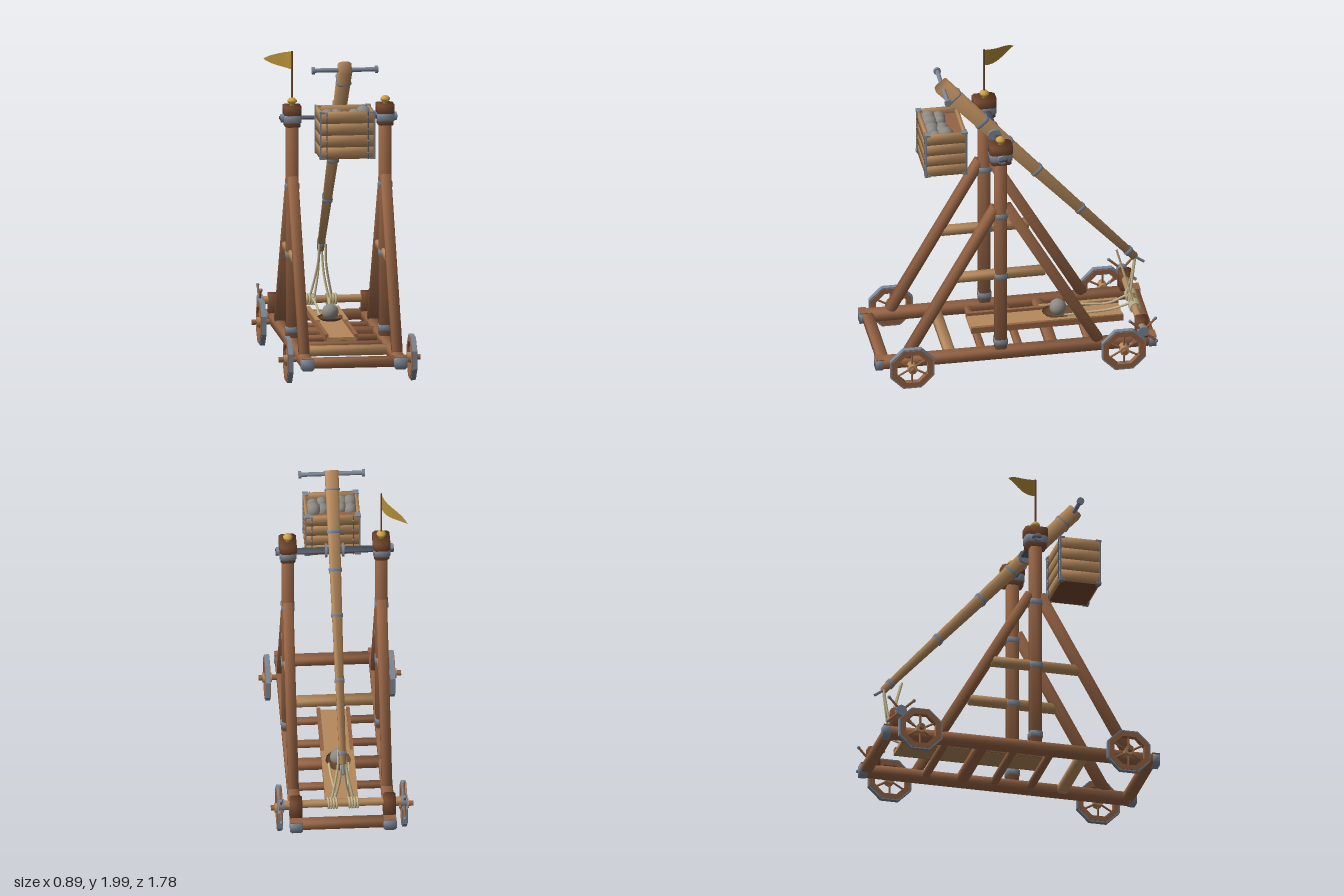
import * as THREE from 'three';

const V = (x, y, z) => new THREE.Vector3(x, y, z);
const mat = (name, color, extra = {}) =>
  Object.assign(new THREE.MeshStandardMaterial({ color, ...extra }), { name });

export function createModel() {
  const model = new THREE.Group();
  model.name = 'trebuchet';
  const timber = mat('timber', 0x966444);
  const dark = mat('darkTimber', 0x774a30);
  const pale = mat('paleTimber', 0xb68a5c);
  const iron = mat('iron', 0x7d8897);
  const darkIron = mat('darkIron', 0x555c6a);
  const stone = mat('stone', 0x8e8b86);
  const gold = mat('gold', 0xcfa546);
  const cloth = mat('flagCloth', 0xb08c36, { side: THREE.DoubleSide });
  const rope = mat('rope', 0xc8bb92);
  const leather = mat('leather', 0x6b4630, { side: THREE.DoubleSide });

  const add = (name, geo, material, x = 0, y = 0, z = 0, parent = model) => {
    const m = new THREE.Mesh(geo, material);
    m.name = name;
    m.position.set(x, y, z);
    parent.add(m);
    return m;
  };
  const box = (name, w, h, d, material, x, y, z, parent) =>
    add(name, new THREE.BoxGeometry(w, h, d), material, x, y, z, parent);

  // Chamfered beam from a to b with softly rounded normals; the end may taper
  const beam = (name, a, b, w, h, material, taper = 1, parent = model) => {
    const c = Math.min(w, h) * 0.16, s = new THREE.Shape();
    const p = [[w / 2 - c, -h / 2], [w / 2, c - h / 2], [w / 2, h / 2 - c], [w / 2 - c, h / 2],
      [c - w / 2, h / 2], [-w / 2, h / 2 - c], [-w / 2, c - h / 2], [c - w / 2, -h / 2]];
    s.setFromPoints(p.map(q => new THREE.Vector2(...q)));
    const dir = b.clone().sub(a), len = dir.length();
    dir.normalize();
    const geo = new THREE.ExtrudeGeometry(s, { depth: len, bevelEnabled: false });
    const pos = geo.attributes.position, nor = geo.attributes.normal;
    for (let i = 0; i < pos.count; i++) {
      const x = pos.getX(i), y = pos.getY(i), z = pos.getZ(i) / len;
      const k = 1 + (taper - 1) * z;
      const n = V(2 * x / w, 2 * y / h, z > 0.5 ? 0.6 : -0.6).normalize();
      nor.setXYZ(i, n.x, n.y, n.z);
      pos.setXY(i, x * k, y * k);
    }
    const side = Math.abs(dir.x) > 0.9 ? V(0, 0, 1) : V(1, 0, 0);
    geo.applyMatrix4(new THREE.Matrix4().makeBasis(side, dir.clone().cross(side), dir));
    return add(name, geo, material, a.x, a.y, a.z, parent);
  };
  // Round bar from a to b
  const bar = (name, a, b, r, material, sides = 8, parent = model) => {
    const d = b.clone().sub(a), mid = a.clone().add(b).multiplyScalar(0.5);
    const m = add(name, new THREE.CylinderGeometry(r, r, d.length(), sides), material, mid.x, mid.y, mid.z, parent);
    m.quaternion.setFromUnitVectors(V(0, 1, 0), d.normalize());
    return m;
  };
  const cord = (name, pts) =>
    add(name, new THREE.TubeGeometry(new THREE.CatmullRomCurve3(pts), 14, 0.0075, 6), rope);

  // Octagonal ring, flat on the ground
  const ring = (ro, ri, t) => {
    const pts = r => Array.from({ length: 8 }, (_, i) => {
      const a = (i + 0.5) * Math.PI / 4;
      return new THREE.Vector2(r * Math.cos(a), r * Math.sin(a));
    });
    const s = new THREE.Shape(pts(ro));
    s.holes.push(new THREE.Path(pts(ri).reverse()));
    return new THREE.ExtrudeGeometry(s, { depth: t, bevelEnabled: false })
      .translate(0, 0, -t / 2).rotateY(Math.PI / 2);
  };

  // Side frames, mirrored
  for (const s of [-1, 1]) {
    const x = s * 0.293, pz = 0.095;
    beam('sideRail', V(x, 0.148, -0.885), V(x, 0.148, 0.885), 0.074, 0.074, timber);
    // Iron shoe wraps the rail end but leaves its top bare
    for (const e of [-1, 1]) beam('cornerCap', V(x, 0.145, e * 0.89), V(x, 0.145, e * 0.845), 0.082, 0.076, iron);
    for (const e of [-1, 1]) box('railEndTop', 0.078, 0.006, 0.05, timber, x, 0.184, e * 0.865);
    beam('upright', V(x, 0.185, pz), V(x, 1.56, pz), 0.074, 0.074, timber);
    beam('frontBrace', V(x, 0.18, 0.695), V(x, 1.2, 0.125), 0.066, 0.064, timber);
    beam('rearBrace', V(x, 0.18, -0.525), V(x, 1.2, 0.055), 0.066, 0.064, timber);
    beam('sideTie', V(x, 0.715, -0.185), V(x, 0.715, 0.37), 0.055, 0.058, pale);
    for (const y of [0.235, 0.71, 1.145])
      beam('uprightBand', V(x, y - 0.018, pz), V(x, y + 0.018, pz), 0.084, 0.084, iron);

    // Post head with its iron band, axle bearing and finial
    beam('postHead', V(x, 1.525, pz), V(x, 1.605, pz), 0.095, 0.13, dark);
    beam('postCap', V(x, 1.6, pz), V(x, 1.655, pz), 0.108, 0.146, dark);
    beam('headBand', V(x, 1.552, pz), V(x, 1.598, pz), 0.106, 0.142, iron);
    const finial = [[0.001, 1.65], [0.02, 1.65], [0.012, 1.662], [0.03, 1.678], [0.03, 1.69], [0.016, 1.704], [0.001, 1.708]];
    add('finial', new THREE.LatheGeometry(finial.map(p => new THREE.Vector2(...p)), 8), gold, x, 0, pz);
    bar('axleNut', V(s * 0.34, 1.575, pz), V(s * 0.365, 1.575, pz), 0.028, iron);

    // Windlass bearing and crossed handles
    beam('windlassBearing', V(x, 0.18, -0.8), V(x, 0.305, -0.8), 0.078, 0.08, dark);
    bar('windlassHub', V(s * 0.365, 0.262, -0.795), V(s * 0.4, 0.262, -0.795), 0.036, iron);
    for (const a of [0.75, 2.3]) {
      const d = V(0, Math.sin(a) * 0.115, Math.cos(a) * 0.115), c = V(s * 0.387, 0.262, -0.795);
      bar('windlassHandle', c.clone().sub(d), c.clone().add(d), 0.008, timber, 6);
      for (const k of [-1, 1]) {
        const e = c.clone().addScaledVector(d, k);
        add('handleKnob', new THREE.IcosahedronGeometry(0.011, 1), iron, e.x, e.y, e.z);
      }
    }

    // Wheels
    for (const e of [-1, 1]) {
      const wheel = new THREE.Group();
      wheel.name = 'wheel';
      wheel.position.set(s * 0.39, 0.146, e * 0.672);
      add('tyre', ring(0.15, 0.139, 0.03), iron, 0, 0, 0, wheel);
      add('felloe', ring(0.14, 0.105, 0.036), timber, 0, 0, 0, wheel);
      bar('hub', V(-0.03, 0, 0), V(0.03, 0, 0), 0.031, pale, 8, wheel);
      bar('axleStub', V(-0.06, 0, 0), V(0.052, 0, 0), 0.017, timber, 8, wheel);
      for (let i = 0; i < 6; i++) {
        const a = (i + 0.5) * Math.PI / 3;
        bar('spoke', V(0, 0, 0), V(0, Math.sin(a) * 0.11, Math.cos(a) * 0.11), 0.007, timber, 6, wheel);
      }
      model.add(wheel);
    }
  }

  // Cross beams: z, height, depth, material
  for (const [z, h, d, m] of [[0.837, 0.062, 0.07, timber], [0.41, 0.06, 0.066, pale], [0.205, 0.04, 0.045, timber],
    [-0.03, 0.04, 0.045, timber], [-0.237, 0.06, 0.07, timber], [-0.47, 0.04, 0.045, timber], [-0.852, 0.062, 0.068, timber]])
    beam('crossBeam', V(-0.27, 0.15, z), V(0.27, 0.15, z), d, h, m);

  // Sling trough
  box('troughFloor', 0.19, 0.022, 0.965, pale, 0, 0.192, -0.237);
  for (const s of [-1, 1]) {
    box('troughWall', 0.022, 0.04, 0.965, timber, s * 0.092, 0.202, -0.237);
    box('troughLip', 0.026, 0.01, 0.5, pale, s * 0.09, 0.227, -0.465);
  }

  // Pouch and shot
  const pouch = add('pouch', new THREE.SphereGeometry(1, 12, 4, 0, Math.PI * 2, Math.PI / 2, Math.PI / 2),
    leather, 0, 0.236, -0.32);
  pouch.scale.set(0.08, 0.03, 0.1);
  add('shot', new THREE.IcosahedronGeometry(0.053, 2), stone, 0, 0.263, -0.32);

  // Windlass drum with rope coils
  bar('windlassDrum', V(-0.37, 0.262, -0.795), V(0.37, 0.262, -0.795), 0.025, pale);
  for (const s of [-1, 1]) for (let i = 0; i < 4; i++)
    add('ropeCoil', new THREE.TorusGeometry(0.032, 0.0075, 6, 12).rotateY(Math.PI / 2 + 0.12), rope,
      s * (0.04 + i * 0.017), 0.262, -0.795);

  // Throwing arm, tapering down to the rear
  const top = V(0, 1.938, 0.414), tip = V(0, 0.577, -0.81);
  const at = t => top.clone().lerp(tip, t);
  beam('arm', at(-0.005), tip, 0.085, 0.098, pale, 0.46);
  for (const [t, half] of [[0.06, 0.003], [0.205, 0.006], [0.335, 0.006], [0.49, 0.006], [0.715, 0.006], [0.965, 0.007]]) {
    const k = 1 - 0.54 * t;
    beam('armBand', at(t - half), at(t + half), 0.085 * k + 0.01, 0.098 * k + 0.01, iron);
  }
  bar('releaseProng', tip, V(0, 0.535, -0.868), 0.009, iron, 6);
  // Flat pivot bar
  beam('pivotAxle', V(-0.37, 1.575, 0.088), V(0.37, 1.575, 0.088), 0.054, 0.016, darkIron);
  for (const s of [-1, 1]) {
    bar('pivotCollar', V(s * 0.045, 1.575, 0.09), V(s * 0.06, 1.575, 0.09), 0.045, iron);
    bar('hangerEnd', V(s * 0.19, 1.93, 0.41), V(s * 0.208, 1.93, 0.41), 0.024, iron);
  }
  bar('hangerRod', V(-0.2, 1.93, 0.41), V(0.2, 1.93, 0.41), 0.014, iron);

  // Ropes from arm to windlass and along the trough
  for (const s of [-1, 1]) {
    cord('armRope', [V(s * 0.008, 0.575, -0.81), V(s * 0.018, 0.43, -0.79), V(s * 0.045, 0.28, -0.765)]);
    cord('slingRope', [V(s * 0.02, 0.63, -0.695), V(s * 0.026, 0.5, -0.73), V(s * 0.07, 0.27, -0.79)]);
    cord('pouchRope', [V(s * 0.05, 0.27, -0.76), V(s * 0.04, 0.235, -0.65), V(s * 0.055, 0.235, -0.48), V(s * 0.062, 0.235, -0.35)]);
  }

  // Counterweight crate
  const crate = new THREE.Group();
  crate.name = 'counterweightCrate';
  crate.position.set(0, 1.385, 0.417);
  model.add(crate);
  box('crateFloor', 0.32, 0.02, 0.24, dark, 0, 0.012, 0, crate);
  for (let i = 0; i < 4; i++) for (const s of [-1, 1]) {
    const y = 0.04 + i * 0.075;
    beam('cratePlank', V(-0.17, y, s * 0.12), V(0.17, y, s * 0.12), 0.02, 0.074, pale, 1, crate);
    beam('cratePlank', V(s * 0.162, y, -0.125), V(s * 0.162, y, 0.125), 0.02, 0.074, pale, 1, crate);
  }
  for (const s of [-1, 1]) for (const e of [-1, 1]) {
    box('crateCorner', 0.01, 0.305, 0.01, iron, s * 0.169, 0.153, e * 0.128, crate);
    for (const y of [0.008, 0.298]) box('crateBracket', 0.036, 0.012, 0.036, iron, s * 0.158, y, e * 0.118, crate);
    box('crateStrap', 0.007, 0.3, 0.006, darkIron, s * 0.13, 0.152, e * 0.13, crate);
    for (let i = 0; i < 4; i++)
      add('rivet', new THREE.IcosahedronGeometry(0.007, 0), iron, s * 0.13, 0.04 + i * 0.075, e * 0.132, crate);
  }
  // Ballast stones heaped toward the front, with a board behind them
  box('crateBoard', 0.31, 0.02, 0.1, timber, 0, 0.25, -0.07, crate);
  for (let i = 0; i < 5; i++) for (let j = 0; j < 2; j++) {
    const r = 0.045 + 0.008 * Math.sin(i * 5 + j * 3);
    add('ballastStone', new THREE.IcosahedronGeometry(r, 1), stone,
      -0.116 + i * 0.058, 0.255 + 0.012 * Math.sin(i * 2 + j), j * 0.065 + 0.01 * Math.sin(i * 3), crate);
  }

  // Pennant
  bar('flagPole', V(-0.293, 1.69, 0.095), V(-0.293, 2, 0.095), 0.006, dark, 6);
  const flag = new THREE.PlaneGeometry(1, 1, 8, 1), fp = flag.attributes.position;
  for (let i = 0; i < fp.count; i++) {
    const u = fp.getX(i) + 0.5, v = fp.getY(i);
    fp.setXYZ(i, -0.295 - 0.135 * u + 0.018 * Math.sin(u * Math.PI * 1.6),
      1.94 - 0.022 * u + v * 0.112 * (1 - u * u), 0.095 - 0.215 * u);
  }
  flag.computeVertexNormals();
  add('flag', flag, cloth);
  return model;
}
